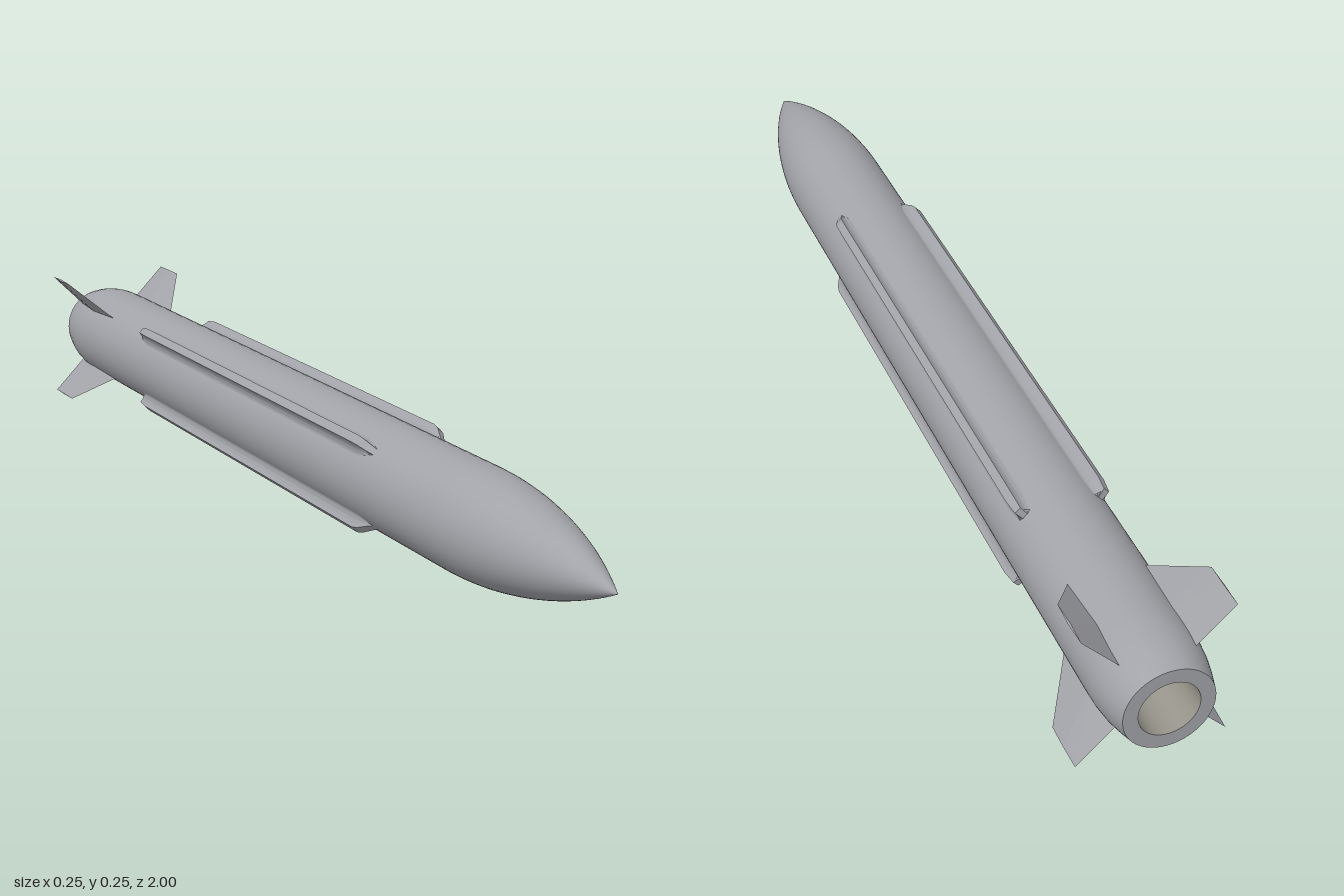
import * as THREE from 'three';
import { ConvexGeometry } from 'three/addons/geometries/ConvexGeometry.js';

const AXIS_Y = 0.126; // height of the body axis
const R = 0.093;      // body radius

const bodyGrey = new THREE.MeshStandardMaterial({ color: 0xa2a3a8 });
bodyGrey.name = 'bodyGrey';
const nozzleGrey = new THREE.MeshStandardMaterial({ color: 0x96948a });
nozzleGrey.name = 'nozzleGrey';

// Surface of revolution about z; the profile is [radius, z] from rear to front
function lathe(name, profile, material) {
  const g = new THREE.LatheGeometry(profile.map(([r, z]) => new THREE.Vector2(r, z)), 64);
  g.rotateX(Math.PI / 2);
  const mesh = new THREE.Mesh(g, material);
  mesh.name = name;
  return mesh;
}

// Body tube with a rounded boat tail and a tangent ogive nose
function bodyProfile() {
  const pts = [[0.076, -1], [0.083, -0.975], [0.0885, -0.95], [0.092, -0.92], [R, -0.89]];
  const base = 0.6, length = 0.4;
  const rho = (R * R + length * length) / (2 * R);
  for (let i = 0; i <= 24; i++) {
    const d = (length * i) / 24;
    pts.push([Math.max(0, Math.sqrt(rho * rho - d * d) - (rho - R)), base + d]);
  }
  return pts;
}

// Long strake: filleted cross-section swept along z, ramping up at the front
function strakeGeometry() {
  const half = [[0.022, 0.0885], [0.015, 0.0935], [0.011, 0.099], [0.009, 0.105], [0.008, 0.113]];
  const section = [...half, ...half.slice().reverse().map(([t, r]) => [-t, r])];
  // stations: z, height factor, width factor
  const stations = [[-0.585, 0, 0.6], [-0.58, 0.85, 0.8], [-0.55, 1, 1], [0.345, 1, 1],
    [0.36, 0.85, 0.95], [0.375, 0.5, 0.85], [0.39, 0.2, 0.7], [0.41, 0, 0.4]];
  const n = section.length;
  const pos = [], index = [];
  for (const [z, h, w] of stations) {
    for (const [t, r] of section) pos.push(0.0885 + (r - 0.0885) * h, t * w, z);
  }
  for (let s = 0; s < stations.length - 1; s++) {
    for (let i = 0; i < n - 1; i++) {
      const a = s * n + i, b = a + 1, c = a + n, d = c + 1;
      index.push(a, c, b, b, c, d);
    }
  }
  const indexed = new THREE.BufferGeometry();
  indexed.setAttribute('position', new THREE.Float32BufferAttribute(pos, 3));
  indexed.setIndex(index);
  const g = indexed.toNonIndexed();
  g.computeVertexNormals();
  return g;
}

// Swept tail fin with a thin diamond section
function finGeometry() {
  const v = (r, t, z) => new THREE.Vector3(r, t, z);
  return new ConvexGeometry([
    v(0.085, 0, -0.75), v(0.085, 0, -0.95), v(0.085, 0.006, -0.86), v(0.085, -0.006, -0.86),
    v(0.178, 0, -0.86), v(0.178, 0, -0.95), v(0.178, 0.002, -0.905), v(0.178, -0.002, -0.905),
  ]);
}

export function createModel() {
  const model = new THREE.Group();
  model.name = 'missile';
  const assembly = new THREE.Group();
  assembly.name = 'airframe';
  assembly.position.y = AXIS_Y;
  model.add(assembly);

  assembly.add(lathe('body', bodyProfile(), bodyGrey));
  assembly.add(lathe('rearRing', [[0.051, -1], [0.076, -1]], bodyGrey));
  assembly.add(lathe('nozzleWall', [[0.045, -0.88], [0.051, -1]], nozzleGrey));
  assembly.add(lathe('nozzleFloor', [[0, -0.88], [0.045, -0.88]], nozzleGrey));

  // Four strakes and fins on the diagonals
  const strakeShape = strakeGeometry();
  const finShape = finGeometry();
  for (let i = 0; i < 4; i++) {
    const quarter = new THREE.Group();
    quarter.name = `finSet${i + 1}`;
    quarter.rotation.z = Math.PI / 4 + (i * Math.PI) / 2;
    const strake = new THREE.Mesh(strakeShape, bodyGrey);
    strake.name = 'strake';
    const fin = new THREE.Mesh(finShape, bodyGrey);
    fin.name = 'tailFin';
    quarter.add(strake, fin);
    assembly.add(quarter);
  }
  return model;
}
